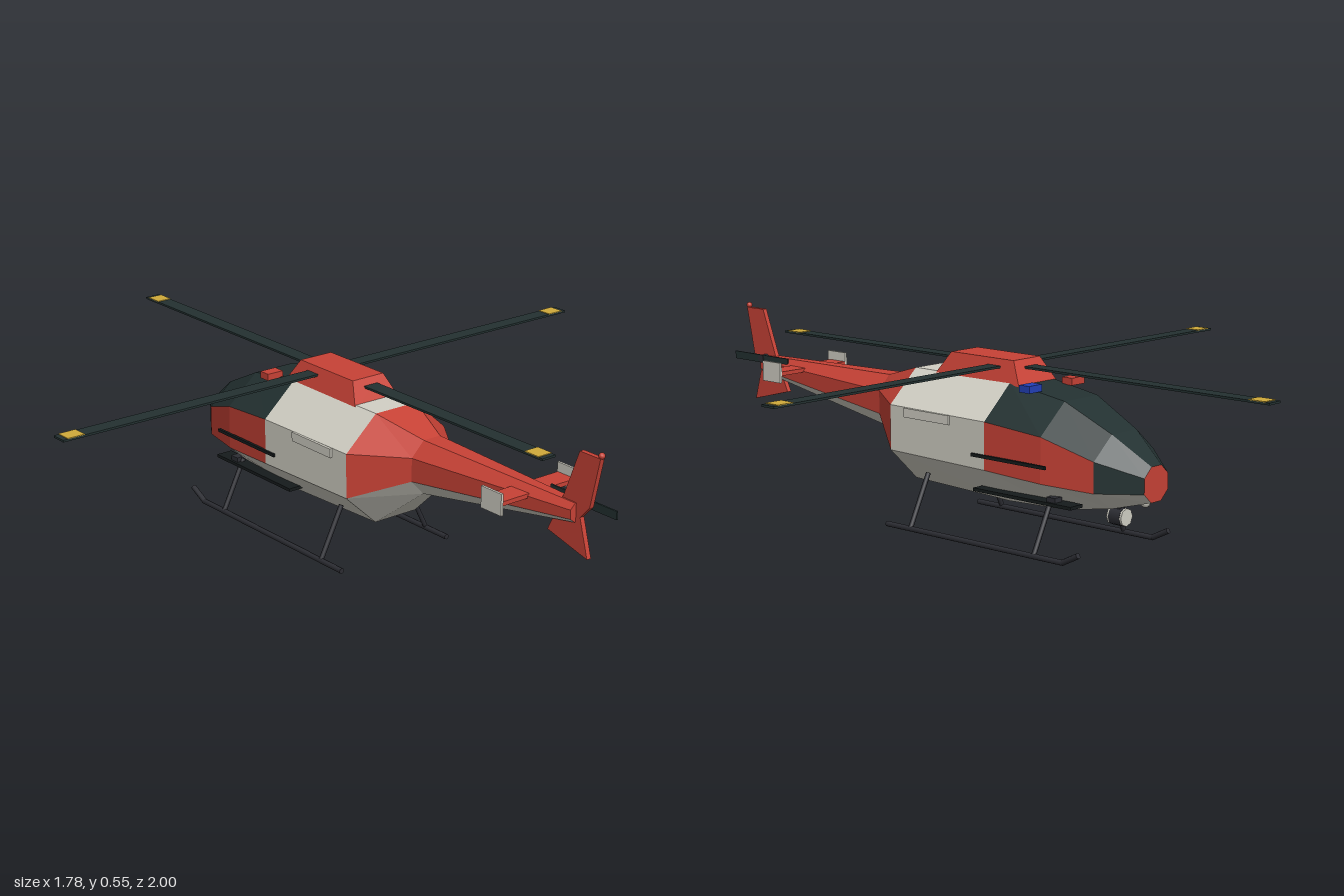
import * as THREE from 'three';

const mat = (name, color) => {
  const m = new THREE.MeshStandardMaterial({ color });
  m.name = name;
  return m;
};

export function createModel() {
  const model = new THREE.Group();
  model.name = 'helicopter';
  const white = mat('off white', 0xd2d0c5);
  const red = mat('red', 0xc84236);
  const glass = mat('dark green black', 0x233131);
  const metal = mat('dark metal', 0x2c2d33);
  const black = mat('black', 0x161b1c);
  const yellow = mat('yellow', 0xd0aa3a);
  const blue = mat('blue', 0x2340b8);

  const add = (name, geometry, material, x = 0, y = 0, z = 0, parent = model) => {
    const mesh = new THREE.Mesh(geometry, material);
    mesh.name = name;
    mesh.position.set(x, y, z);
    parent.add(mesh);
    return mesh;
  };
  const box = (name, m, w, h, d, x, y, z, parent) =>
    add(name, new THREE.BoxGeometry(w, h, d), m, x, y, z, parent);
  const rod = (name, m, r, a, b, parent) => {
    const p = new THREE.Vector3(...a), q = new THREE.Vector3(...b);
    const mesh = add(name, new THREE.CylinderGeometry(r, r, p.distanceTo(q), 8), m, 0, 0, 0, parent);
    mesh.position.copy(p).add(q).multiplyScalar(0.5);
    mesh.quaternion.setFromUnitVectors(new THREE.Vector3(0, 1, 0), q.sub(p).normalize());
    return mesh;
  };
  const flatGeometry = (points) => {
    const g = new THREE.BufferGeometry();
    g.setAttribute('position', new THREE.Float32BufferAttribute(points.flat(), 3));
    g.computeVertexNormals();
    return g;
  };

  // Octagonal hull stations, nose to tail: z, half width, top, shoulder, sill, bottom
  const rings = [
    [-0.63, 0.05, 0.262, 0.235, 0.192, 0.165],
    [-0.52, 0.125, 0.338, 0.275, 0.19, 0.137],
    [-0.37, 0.165, 0.41, 0.327, 0.2, 0.115],
    [-0.18, 0.178, 0.44, 0.345, 0.212, 0.11],
    [0.18, 0.174, 0.44, 0.347, 0.218, 0.122],
    [0.33, 0.07, 0.397, 0.355, 0.288, 0.243],
    [0.89, 0.026, 0.39, 0.375, 0.35, 0.338],
  ].map(([z, w, top, shoulder, sill, bottom]) => {
    const t = w * 0.41;
    return [[w, sill, z], [w, shoulder, z], [t, top, z], [-t, top, z],
      [-w, shoulder, z], [-w, sill, z], [-t, bottom, z], [t, bottom, z]];
  });
  // Faces run round the hull: 0 and 4 sides, 1 to 3 roof, 5 to 7 belly
  const hull = (name, m, from, to, faces) => {
    const points = [];
    for (let i = from; i < to; i++) {
      for (const k of faces) {
        const n = (k + 1) % 8;
        const [a, b, c, d] = [rings[i][k], rings[i][n], rings[i + 1][n], rings[i + 1][k]];
        points.push(a, b, c, a, c, d);
      }
    }
    add(name, flatGeometry(points), m);
  };
  const cap = (name, m, ring, nose) => {
    const points = [];
    for (let k = 1; k < 7; k++) {
      points.push(ring[0], ring[nose ? k + 1 : k], ring[nose ? k : k + 1]);
    }
    add(name, flatGeometry(points), m);
  };
  hull('belly', white, 0, 6, [5, 6, 7]);
  hull('windscreen', glass, 0, 3, [1, 2, 3]);
  hull('noseWindows', glass, 0, 1, [0, 4]);
  hull('frontDoors', red, 1, 3, [0, 4]);
  hull('cabin', white, 3, 4, [0, 1, 2, 3, 4]);
  hull('tailBoom', red, 4, 6, [0, 1, 2, 3, 4]);
  cap('noseCap', red, rings[0], true);
  cap('boomEnd', red, rings[6], false);

  // Engine cowling: a box narrowed at the top
  const cowlGeometry = new THREE.BoxGeometry(0.156, 0.065, 0.315).toNonIndexed();
  const pos = cowlGeometry.attributes.position;
  for (let i = 0; i < pos.count; i++) {
    if (pos.getY(i) > 0) {
      pos.setX(i, pos.getX(i) * 0.69);
      pos.setZ(i, pos.getZ(i) * 0.74);
    }
  }
  cowlGeometry.computeVertexNormals();
  add('engineCowling', cowlGeometry, red, 0, 0.464, -0.058);

  // Main rotor with four blades and painted tip bands
  const rotor = new THREE.Group();
  rotor.name = 'mainRotor';
  rotor.position.set(0, 0.475, -0.11);
  model.add(rotor);
  for (let i = 0; i < 4; i++) {
    const blade = new THREE.Group();
    blade.name = 'rotorBlade';
    blade.rotation.y = i * Math.PI / 2;
    rotor.add(blade);
    box('blade', glass, 0.89, 0.006, 0.046, 0.445, 0, 0, blade);
    box('tipBand', yellow, 0.052, 0.002, 0.046, 0.85, 0.004, 0, blade);
  }

  // Tail fin, drawn in z and y then turned into the side plane
  const fin = new THREE.Shape([
    [0.968, 0.53], [0.895, 0.53], [0.845, 0.4], [0.83, 0.37],
    [0.79, 0.287], [0.935, 0.25], [0.905, 0.355], [0.937, 0.39],
  ].map(([z, y]) => new THREE.Vector2(-z, y)));
  const finGeometry = new THREE.ExtrudeGeometry(fin, { depth: 0.014, bevelEnabled: false });
  finGeometry.translate(0, 0, -0.007).rotateY(Math.PI / 2);
  add('tailFin', finGeometry, red);
  add('finBeacon', new THREE.SphereGeometry(0.009, 8, 6), red, 0, 0.536, 0.965);

  // Tail rotor on the left of the fin
  box('tailRotorBlade', glass, 0.005, 0.023, 0.236, 0.027, 0.382, 0.882);
  rod('tailRotorHub', metal, 0.012, [0, 0.382, 0.882], [0.032, 0.382, 0.882]);

  // Stabilizer
  box('stabilizer', red, 0.26, 0.012, 0.065, 0, 0.37, 0.713);

  // Mirrored parts
  for (const s of [1, -1]) {
    box('stabilizerEndPlate', white, 0.007, 0.06, 0.076, s * 0.133, 0.373, 0.717);
    box('doorRail', white, 0.012, 0.026, 0.17, s * 0.177, 0.333, 0.035);
    box('doorHandrail', black, 0.008, 0.009, 0.265, s * 0.18, 0.25, -0.268);
    box('stepBoard', black, 0.05, 0.009, 0.35, s * 0.122, 0.144, -0.285);
    box('stepBracket', metal, 0.03, 0.014, 0.03, s * 0.125, 0.155, -0.385);
    box('roofLight', s > 0 ? blue : red, 0.052, 0.02, 0.036, s * 0.088, 0.436, -0.267);

    // Landing skid with upturned toe and two struts
    const skid = new THREE.Group();
    skid.name = 'landingSkid';
    model.add(skid);
    const x = s * 0.19;
    rod('runner', metal, 0.008, [x, 0.008, 0.18], [x, 0.008, -0.472], skid);
    rod('runnerToe', metal, 0.008, [x, 0.008, -0.47], [x, 0.036, -0.525], skid);
    for (const z of [0.088, -0.37]) {
      rod('strut', metal, 0.007, [s * 0.118, 0.156, z], [x, 0.01, z], skid);
    }
  }

  // Searchlight drum and landing light under the nose
  rod('searchlightBody', metal, 0.026, [0, 0.107, -0.488], [0, 0.107, -0.526]);
  for (const z of [-0.485, -0.529]) {
    rod('searchlightLens', white, 0.025, [0, 0.107, z - 0.003], [0, 0.107, z + 0.003]);
  }
  box('searchlightMount', metal, 0.02, 0.03, 0.02, 0, 0.135, -0.507);
  add('landingLight', new THREE.SphereGeometry(0.014, 8, 6), white, 0, 0.158, -0.595);

  return model;
}
